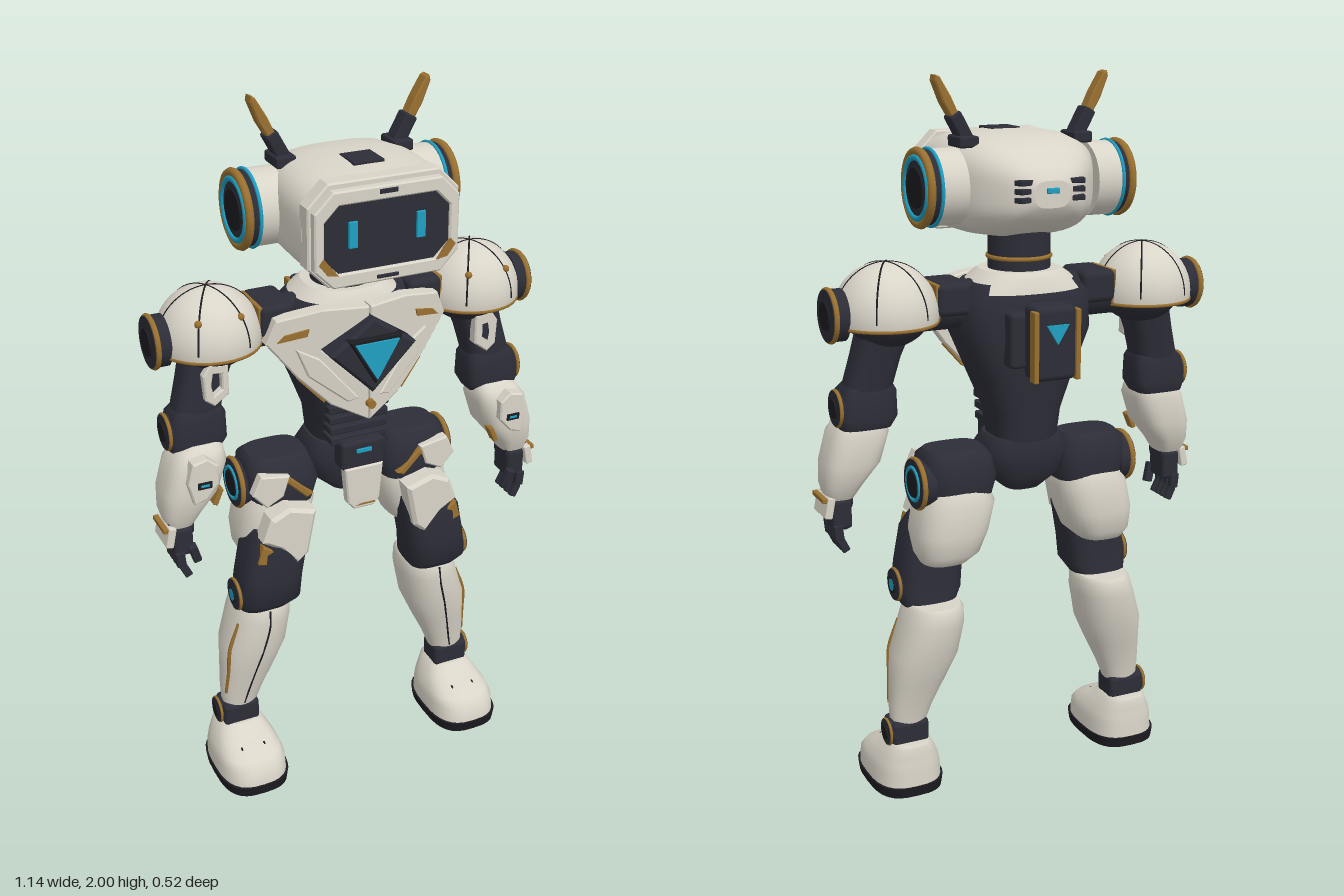
import * as THREE from 'three';
import { RoundedBoxGeometry } from 'three/addons/geometries/RoundedBoxGeometry.js';

const paint = (name, color, side = THREE.FrontSide) => Object.assign(new THREE.MeshStandardMaterial({ color, side }), { name });

// Closed skin through superellipse rings [cx, cy, cz, rx, rz], stacked upwards
function loft(rows, p = 2.5, n = 32) {
  const pos = [], idx = [], e = 2 / p;
  const pw = v => Math.sign(v) * Math.abs(v) ** e;
  const ring = ([cx, cy, cz, rx, rz]) => {
    for (let j = 0; j < n; j++) {
      const a = (j / n) * Math.PI * 2;
      pos.push(cx + rx * pw(Math.cos(a)), cy, cz + rz * pw(Math.sin(a)));
    }
  };
  rows.forEach(ring);
  for (let i = 0; i < rows.length - 1; i++) for (let j = 0; j < n; j++) {
    const a = i * n + j, b = i * n + (j + 1) % n;
    idx.push(a, a + n, b, b, a + n, b + n);
  }
  [rows[0], rows[rows.length - 1]].forEach((r, top) => {
    const base = pos.length / 3;
    ring(r);
    pos.push(r[0], r[1], r[2]);
    for (let j = 0; j < n; j++) {
      const a = base + j, b = base + (j + 1) % n;
      idx.push(base + n, top ? b : a, top ? a : b);
    }
  });
  const g = new THREE.BufferGeometry();
  g.setAttribute('position', new THREE.Float32BufferAttribute(pos, 3));
  g.setIndex(idx);
  g.computeVertexNormals();
  return g;
}

export function createModel() {
  const root = new THREE.Group();
  root.name = 'robot';
  const ivory = paint('ivory', 0xd9d4c8), navy = paint('navy', 0x2c2d37), black = paint('black', 0x1c1c21);
  const gold = paint('gold', 0x9a7130), cyan = paint('cyan', 0x1f9fc2), shell = paint('ivoryShell', 0xd9d4c8, THREE.DoubleSide);

  const add = (name, geo, mat, x = 0, y = 0, z = 0, rx = 0, ry = 0, rz = 0) => {
    const m = new THREE.Mesh(geo, mat);
    m.name = name;
    m.position.set(x, y, z);
    m.rotation.set(rx, ry, rz);
    root.add(m);
    return m;
  };
  const box = (name, mat, w, h, d, x, y, z, rx = 0, ry = 0, rz = 0) =>
    add(name, new RoundedBoxGeometry(w, h, d, 2, Math.min(w, h, d) * 0.2), mat, x, y, z, rx, ry, rz);
  const cylX = (name, mat, r, len, x, y, z) => add(name, new THREE.CylinderGeometry(r, r, len, 32), mat, x, y, z, 0, 0, Math.PI / 2);
  const ringX = (name, mat, r, t, x, y, z) => add(name, new THREE.TorusGeometry(r, t, 8, 40), mat, x, y, z, 0, Math.PI / 2);
  const tube = (name, mat, pts, r) =>
    add(name, new THREE.TubeGeometry(new THREE.CatmullRomCurve3(pts.map(p => new THREE.Vector3(...p))), 20, r, 6), mat);
  // Flat armour plate from z to z + d, folded back along x = 0
  const plate = (name, mat, pts, z, d, { hole, fold = 0, bevel = 0.004, sx = 1, x = 0, y = 0, ry = 0, rx = 0 } = {}) => {
    const v = a => a.map(p => new THREE.Vector2(p[0] * sx, p[1]));
    const s = new THREE.Shape(v(pts));
    if (hole) s.holes.push(new THREE.Path(v(hole)));
    const g = new THREE.ExtrudeGeometry(s, { depth: d - bevel, bevelEnabled: bevel > 0, bevelThickness: bevel, bevelSize: bevel, bevelOffset: -bevel, bevelSegments: 1 });
    const a = g.attributes.position;
    for (let i = 0; i < a.count; i++) a.setZ(i, a.getZ(i) - fold * Math.abs(a.getX(i)));
    g.computeVertexNormals();
    return add(name, g, mat, x, y, z, rx, ry);
  };
  const octagon = (w, h, c) => [[w, h - c], [w - c, h], [c - w, h], [-w, h - c], [-w, c - h], [c - w, -h], [w - c, -h], [w, c - h]];
  // Round joint cap facing sideways: dark hub, gold rim, optional cyan ring
  const joint = (name, s, r, len, x, y, z, glow) => {
    cylX(name + 'Hub', navy, r * 0.93, len, s * x, y, z);
    ringX(name + 'Rim', gold, r * 0.9, r * 0.11, s * (x + len * 0.3), y, z);
    if (glow) ringX(name + 'Glow', cyan, r * 0.62, r * 0.07, s * (x + len / 2), y, z);
    cylX(name + 'Core', black, r * 0.5, 0.01, s * (x + len / 2), y, z);
  };

  // Head: rings stacked from back to front, then tipped forward
  const skull = [[-0.215, 1.705, 0.05, 0.035], [-0.195, 1.705, 0.1, 0.07], [-0.14, 1.71, 0.155, 0.105], [-0.07, 1.711, 0.195, 0.13],
    [0.02, 1.712, 0.213, 0.138], [0.12, 1.71, 0.215, 0.138], [0.2, 1.705, 0.208, 0.134]];
  add('headShell', loft(skull.map(([z, y, w, h]) => [0, z, -y, w, h]), 3.2, 48).rotateX(Math.PI / 2), ivory);
  plate('faceSurround', ivory, octagon(0.207, 0.134, 0.055), 0.19, 0.047, { y: 1.705 });
  plate('faceFrame', ivory, octagon(0.198, 0.124, 0.05), 0.235, 0.025, { y: 1.7, hole: octagon(0.172, 0.088, 0.04) });
  plate('visor', navy, octagon(0.176, 0.092, 0.04), 0.235, 0.016, { y: 1.7, bevel: 0 });
  box('browNotch', navy, 0.05, 0.012, 0.01, 0, 1.81, 0.258);
  box('chinNotch', navy, 0.06, 0.01, 0.01, 0, 1.59, 0.258);
  box('crownPanel', navy, 0.085, 0.012, 0.085, 0, 1.846, 0.107);
  box('rearLight', cyan, 0.035, 0.014, 0.012, 0, 1.715, -0.217);

  // Neck and collar
  add('neck', new THREE.CylinderGeometry(0.085, 0.085, 0.14, 32), navy, 0, 1.53, -0.015);
  add('neckRing', new THREE.TorusGeometry(0.085, 0.006, 8, 40), gold, 0, 1.52, -0.015, Math.PI / 2);
  add('collar', loft([[0, 1.435, -0.015, 0.175, 0.13], [0, 1.47, -0.015, 0.135, 0.12], [0, 1.488, -0.015, 0.11, 0.105]], 2.4), ivory);

  // Torso
  add('torso', loft([[0, 1, -0.03, 0.09, 0.08], [0, 1.1, -0.025, 0.1, 0.1], [0, 1.2, -0.015, 0.14, 0.12], [0, 1.32, -0.01, 0.19, 0.14],
    [0, 1.42, -0.01, 0.19, 0.13], [0, 1.46, -0.01, 0.15, 0.11]], 3), navy);
  plate('chestCoreMount', navy, [[0, 0.11], [0.125, 0.02], [0, -0.105], [-0.125, 0.02]], 0.12, 0.07, { y: 1.335, bevel: 0.008 });
  plate('chestCoreFrame', black, [[-0.078, 0.06], [0.078, 0.06], [0, -0.072]], 0.18, 0.025, { y: 1.335 });
  plate('chestCore', cyan, [[-0.063, 0.05], [0.063, 0.05], [0, -0.057]], 0.204, 0.008, { y: 1.335, bevel: 0 });
  add('chestStud', new THREE.CylinderGeometry(0.012, 0.012, 0.02, 16), gold, 0, 1.19, 0.17, Math.PI / 2);
  for (let i = 0; i < 4; i++) box('waistRib', navy, 0.18 - i * 0.004, 0.022, 0.18, 0, 1.15 - i * 0.032, 0.01);
  add('pelvis', loft([[0, 0.87, -0.01, 0.05, 0.06], [0, 0.92, -0.02, 0.11, 0.09], [0, 0.99, -0.02, 0.13, 0.1], [0, 1.03, -0.02, 0.1, 0.09]], 3), navy);
  box('buckle', navy, 0.13, 0.085, 0.06, 0, 1.015, 0.1);
  box('buckleLight', cyan, 0.045, 0.012, 0.008, 0, 1.03, 0.131);
  plate('groinPlate', ivory, [[-0.058, 0.98], [0.058, 0.98], [0.048, 0.87], [0.03, 0.85], [-0.03, 0.85], [-0.048, 0.87]], 0.105, 0.03);
  box('groinTrim', gold, 0.07, 0.01, 0.02, 0, 0.862, 0.125);

  // Backpack
  box('backpackMount', navy, 0.2, 0.15, 0.06, 0, 1.32, -0.15);
  box('backpack', navy, 0.12, 0.2, 0.085, 0, 1.32, -0.205);
  plate('backpackLight', cyan, [[-0.032, 0.022], [0.032, 0.022], [0, -0.03]], -0.254, 0.009, { y: 1.35, bevel: 0 });

  for (const s of [1, -1]) {
    const L = (rows, p, n) => loft(rows.map(([x, ...r]) => [s * x, ...r]), p, n);

    // Face details, ears and antennae
    box('eye', cyan, 0.024, 0.068, 0.009, s * 0.093, 1.708, 0.254);
    plate('faceCorner', gold, [[0.135, 1.61], [0.165, 1.615], [0.188, 1.645], [0.175, 1.66]], 0.255, 0.009, { sx: s, bevel: 0 });
    cylX('earBase', ivory, 0.1, 0.075, s * 0.225, 1.715, -0.02);
    joint('ear', s, 0.105, 0.035, 0.28, 1.715, -0.02);
    ringX('earGlow', cyan, 0.079, 0.009, s * 0.295, 1.715, -0.02);
    ringX('earInnerRing', cyan, 0.1, 0.005, s * 0.262, 1.715, -0.02);
    box('antennaBase', navy, 0.055, 0.03, 0.085, s * 0.165, 1.83, -0.025);
    box('antennaClip', navy, 0.036, 0.08, 0.05, s * 0.178, 1.867, -0.025, 0, 0, -s * 0.5);
    plate('antenna', gold, [[0.165, 1.86], [0.195, 1.875], [0.228, 1.93], [0.25, 1.985], [0.247, 2], [0.236, 1.996], [0.205, 1.945]], -0.041, 0.036, { sx: s });
    for (let i = -1; i < 2; i++) box('rearVent', navy, 0.05, 0.014, 0.03, s * 0.072, 1.715 + i * 0.022, -0.2, 0, s * 0.35);

    // Chest armour
    plate('chestPlate', ivory, [[0.002, 1.468], [0.12, 1.465], [0.235, 1.44], [0.262, 1.375], [0.185, 1.275], [0.1, 1.19], [0.002, 1.14],
      [0.002, 1.235], [0.12, 1.35], [0.002, 1.44]], 0.125, 0.04, { sx: s, fold: 0.3 });
    plate('chestRidge', ivory, [[0.13, 1.33], [0.19, 1.36], [0.16, 1.28], [0.06, 1.2], [0.03, 1.21]], 0.155, 0.02, { sx: s, fold: 0.3 });
    plate('chestTrim', gold, [[0.155, 1.415], [0.215, 1.4], [0.235, 1.38], [0.16, 1.395]], 0.162, 0.009, { sx: s, fold: 0.3, bevel: 0 });
    plate('ribTrim', gold, [[0.11, 1.215], [0.175, 1.275], [0.18, 1.265], [0.115, 1.195]], 0.14, 0.02, { sx: s, fold: 0.3, bevel: 0 });
    box('backpackRail', gold, 0.014, 0.19, 0.03, s * 0.061, 1.315, -0.237);

    // Shoulder with segmented dome
    cylX('shoulderAxle', navy, 0.065, 0.3, s * 0.25, 1.4, -0.01);
    box('shoulderBlock', navy, 0.1, 0.09, 0.15, s * 0.215, 1.425, -0.01);
    box('shoulderBlockTrim', gold, 0.012, 0.096, 0.13, s * 0.262, 1.42, -0.01);
    add('shoulderBall', new THREE.SphereGeometry(0.122, 32, 20), navy, s * 0.38, 1.4, -0.01).scale.set(0.95, 0.8, 0.95);
    add('shoulderDome', new THREE.SphereGeometry(0.14, 40, 18, 0, Math.PI * 2, 0, Math.PI * 0.55), shell, s * 0.385, 1.39, -0.01);
    for (let k = 0; k < 3; k++) add('domeSeam', new THREE.TorusGeometry(0.1395, 0.0025, 5, 40, Math.PI), black, s * 0.385, 1.39, -0.01, 0, k * Math.PI / 3);
    add('domeRim', new THREE.TorusGeometry(0.137, 0.005, 6, 40), gold, s * 0.385, 1.37, -0.01, Math.PI / 2);
    for (const dx of [-0.055, 0.06]) add('domeStud', new THREE.SphereGeometry(0.01, 10, 8), gold, s * (0.385 + dx), 1.47, 0.09);
    joint('shoulder', s, 0.074, 0.045, 0.528, 1.4, -0.01);

    // Arm
    add('upperArm', L([[0.445, 1.17, 0.01, 0.065, 0.055], [0.415, 1.28, 0, 0.065, 0.058], [0.375, 1.4, -0.01, 0.075, 0.07]], 3), navy);
    plate('upperArmGuard', ivory, [[-0.03, 0.055], [0.02, 0.06], [0.04, 0.03], [0.036, -0.04], [0.01, -0.06], [-0.03, -0.03]], 0.05, 0.03,
      { sx: s, x: s * 0.395, y: 1.285, hole: [[-0.012, 0.03], [0.012, 0.033], [0.018, 0], [0.012, -0.03], [-0.012, -0.014]] });
    add('elbow', L([[0.45, 1.09, 0.01, 0.07, 0.055], [0.445, 1.12, 0.01, 0.082, 0.065], [0.44, 1.19, 0.01, 0.076, 0.06], [0.435, 1.21, 0.01, 0.06, 0.05]], 4), navy);
    joint('elbow', s, 0.052, 0.03, 0.515, 1.145, 0.01);
    add('forearm', L([[0.515, 0.89, 0.045, 0.038, 0.045], [0.508, 0.93, 0.042, 0.055, 0.065], [0.482, 0.99, 0.04, 0.078, 0.08],
      [0.458, 1.07, 0.04, 0.08, 0.08], [0.448, 1.105, 0.038, 0.065, 0.065], [0.44, 1.12, 0.035, 0.045, 0.045]], 3), ivory);
    plate('forearmGuard', ivory, [[-0.04, 0.045], [-0.01, 0.07], [0.03, 0.06], [0.045, 0], [0.03, -0.06], [-0.005, -0.05], [-0.04, -0.01]], 0.105, 0.035, { sx: s, x: s * 0.465, y: 1.04 });
    box('forearmSlot', black, 0.04, 0.02, 0.008, s * 0.465, 1.035, 0.139);
    box('forearmLight', cyan, 0.024, 0.007, 0.008, s * 0.465, 1.035, 0.141);
    box('forearmTrim', gold, 0.014, 0.05, 0.03, s * 0.42, 0.975, 0.1, 0, 0, s * 0.4);

    // Hand
    cylX('wrist', navy, 0.035, 0.07, s * 0.518, 0.885, 0.05);
    box('palm', navy, 0.055, 0.085, 0.085, s * 0.515, 0.845, 0.05);
    box('handGuard', ivory, 0.022, 0.06, 0.1, s * 0.552, 0.87, 0.05, 0, 0, s * 0.2);
    box('handTrim', gold, 0.014, 0.014, 0.09, s * 0.565, 0.892, 0.05);
    for (let i = 0; i < 4; i++) {
      const z = 0.015 + i * 0.025;
      box('fingerUpper', navy, 0.026, 0.045, 0.02, s * 0.528, 0.795, z, 0, 0, -s * 0.1);
      box('fingerTip', navy, 0.022, 0.04, 0.018, s * 0.515, 0.757, z, 0, 0, -s * 0.45);
    }
    box('thumb', navy, 0.024, 0.06, 0.024, s * 0.487, 0.805, 0.09, 0.2, 0, -s * 0.3);

    // Hip
    add('hip', L([[0.2, 0.86, -0.02, 0.09, 0.09], [0.2, 0.93, -0.02, 0.11, 0.1], [0.205, 0.99, -0.025, 0.1, 0.085], [0.205, 1.01, -0.025, 0.08, 0.06]], 3), navy);
    plate('hipGuard', ivory, [[0.2, 0.97], [0.285, 0.985], [0.31, 0.93], [0.27, 0.885], [0.22, 0.91]], 0.055, 0.03, { sx: s });
    plate('hipTrim', gold, [[0.13, 0.9], [0.2, 0.965], [0.21, 0.95], [0.15, 0.89]], 0.06, 0.025, { sx: s });
    joint('hip', s, 0.074, 0.045, 0.305, 0.92, -0.035, true);

    // Thigh and knee
    add('thigh', L([[0.245, 0.69, -0.03, 0.065, 0.07], [0.235, 0.72, -0.03, 0.09, 0.095], [0.225, 0.78, -0.03, 0.105, 0.105],
      [0.207, 0.86, -0.028, 0.108, 0.105], [0.205, 0.9, -0.025, 0.09, 0.09]], 2.7), ivory);
    add('lowerThigh', L([[0.272, 0.55, 0.02, 0.075, 0.065], [0.265, 0.59, 0.042, 0.093, 0.082], [0.258, 0.66, 0.045, 0.092, 0.082],
      [0.24, 0.76, 0.045, 0.09, 0.085], [0.225, 0.81, 0.04, 0.075, 0.07]], 3), navy);
    plate('thighGuard', ivory, [[0.14, 0.87], [0.22, 0.895], [0.275, 0.87], [0.3, 0.8], [0.25, 0.77], [0.2, 0.71], [0.165, 0.74]], 0.07, 0.06, { sx: s, bevel: 0.01 });
    plate('thighTrim', gold, [[0.25, 0.76], [0.3, 0.79], [0.315, 0.735], [0.27, 0.72]], 0.1, 0.025, { sx: s });
    joint('knee', s, 0.048, 0.035, 0.347, 0.605, 0.042);
    cylX('kneeLight', cyan, 0.018, 0.014, s * 0.363, 0.605, 0.042);

    // Shin
    add('shin', L([[0.345, 0.205, 0, 0.052, 0.042], [0.335, 0.26, 0, 0.064, 0.052], [0.315, 0.335, -0.002, 0.08, 0.072],
      [0.295, 0.415, -0.006, 0.095, 0.095], [0.272, 0.51, -0.01, 0.087, 0.106], [0.266, 0.55, -0.01, 0.08, 0.1], [0.265, 0.562, -0.01, 0.07, 0.09]], 2.3), ivory);
    tube('shinStripe', gold, [[s * 0.35, 0.5, 0.042], [s * 0.381, 0.415, 0.042], [s * 0.385, 0.335, 0.036], [s * 0.391, 0.255, 0.024]], 0.006);
    tube('shinSeam', black, [[s * 0.272, 0.55, 0.09], [s * 0.275, 0.5, 0.095], [s * 0.295, 0.415, 0.088], [s * 0.315, 0.335, 0.069], [s * 0.343, 0.215, 0.042]], 0.003);

    // Ankle and foot
    box('ankle', navy, 0.11, 0.075, 0.09, s * 0.35, 0.178, 0);
    joint('ankle', s, 0.04, 0.025, 0.403, 0.18, -0.005);
    add('foot', L([[0.35, 0.025, 0.06, 0.102, 0.142], [0.35, 0.07, 0.058, 0.1, 0.138], [0.35, 0.095, 0.046, 0.093, 0.124], [0.35, 0.118, 0.018, 0.08, 0.092],
      [0.35, 0.142, -0.004, 0.066, 0.07], [0.35, 0.152, -0.006, 0.055, 0.06]], 2.8), ivory);
    add('sole', L([[0.35, 0, 0.06, 0.102, 0.143], [0.35, 0.03, 0.06, 0.106, 0.147]], 3), black);
    for (const dx of [-0.035, 0.035]) box('toeSlot', black, 0.006, 0.01, 0.06, s * 0.35 + dx, 0.097, 0.14, 0.5);
  }
  return root;
}
